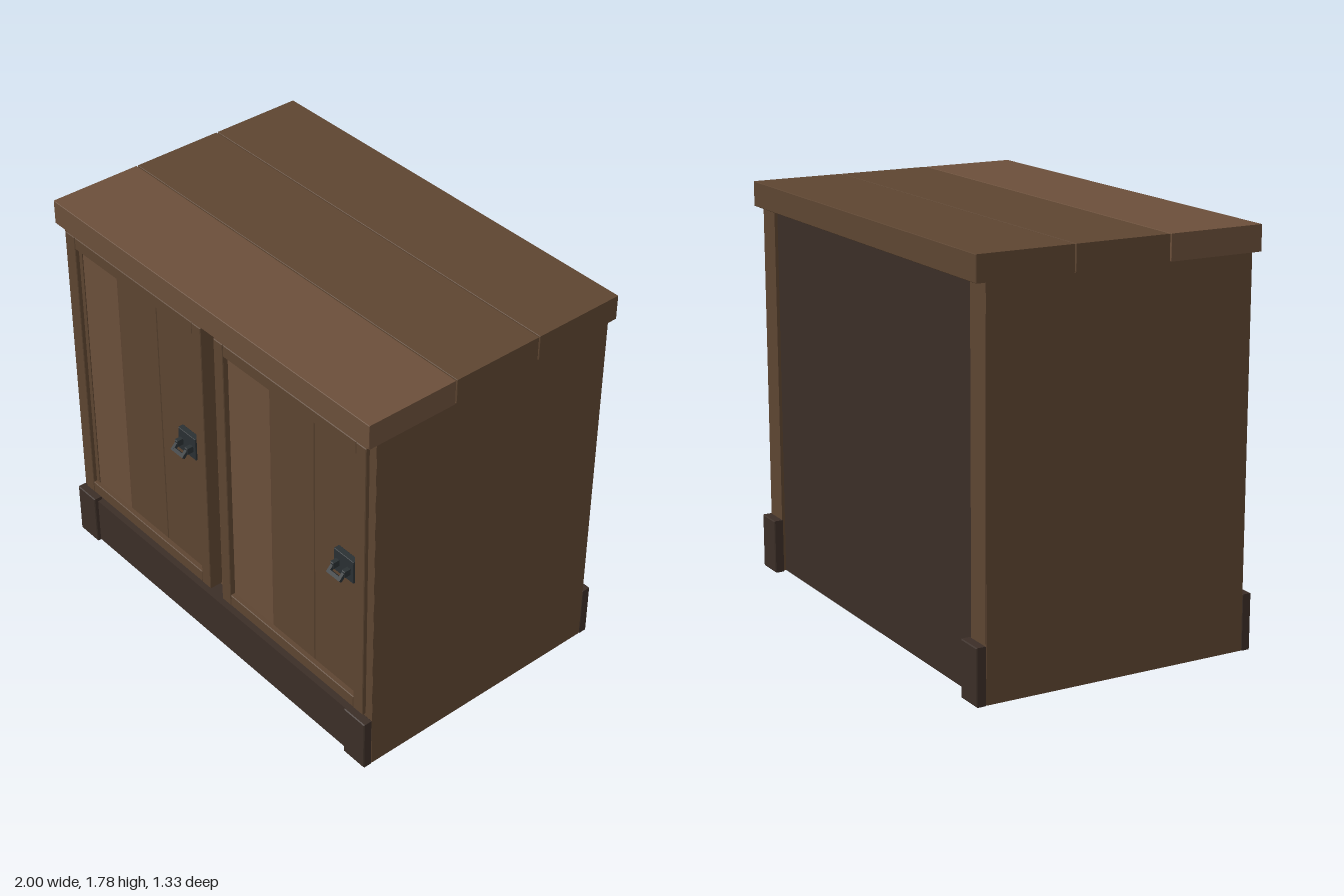
import * as THREE from 'three';

const mat = (color) => new THREE.MeshStandardMaterial({ color, flatShading: true });
const lightWood = mat(0x6b4f3a);
const wood = mat(0x5d4531);
const darkWood = mat(0x3b2e27);
const iron = mat(0x2a3033);

// Box given by its limits, with an optional chamfer on every edge
function block(parent, name, material, [x0, x1], [y0, y1], [z0, z1], c = 0) {
  const w = x1 - x0, h = y1 - y0, d = z1 - z0;
  let geometry;
  if (c) {
    const a = w / 2 - c, b = h / 2 - c;
    const shape = new THREE.Shape([[-a, -b], [a, -b], [a, b], [-a, b]].map((p) => new THREE.Vector2(...p)));
    geometry = new THREE.ExtrudeGeometry(shape, {
      depth: d - 2 * c, bevelEnabled: true, bevelSize: c, bevelThickness: c, bevelSegments: 1,
    });
    geometry.translate(0, 0, c - d / 2);
  } else {
    geometry = new THREE.BoxGeometry(w, h, d);
  }
  const mesh = new THREE.Mesh(geometry, material);
  mesh.name = name;
  mesh.position.set((x0 + x1) / 2, (y0 + y1) / 2, (z0 + z1) / 2);
  parent.add(mesh);
  return mesh;
}

// Range mirrored to the side s
const side = (s, a, b) => (s > 0 ? [a, b] : [-b, -a]);

// Iron plate with two lugs and a drooping pull
function createLatch() {
  const latch = new THREE.Group();
  latch.name = 'latch';
  block(latch, 'latchPlate', iron, [-0.058, 0.058], [-0.055, 0.055], [0, 0.028], 0.002);
  for (const s of [-1, 1]) {
    block(latch, 'latchLug', iron, side(s, 0.024, 0.044), [-0.016, 0.013], [0.026, 0.06], 0.003);
    const arm = block(latch, 'pullArm', iron, side(s, 0.026, 0.04), [-0.022, 0.022], [-0.008, 0.008]);
    arm.position.set(s * 0.033, -0.011, 0.062);
    arm.rotation.x = -0.75;
  }
  const grip = block(latch, 'pullGrip', iron, [-0.04, 0.04], [-0.008, 0.008], [-0.008, 0.008]);
  grip.position.set(0, -0.023, 0.073);
  grip.rotation.x = -0.75;
  return latch;
}

// Framed door with three upright boards
function createDoor(name, x0, x1) {
  const door = new THREE.Group();
  door.name = name;
  const f = 0.058, y0 = 0.26, y1 = 1.635;
  for (const x of [x0, x1 - f]) {
    block(door, 'doorStile', wood, [x, x + f], [y0, y1], [0.54, 0.606], 0.003);
  }
  for (const y of [y0, y1 - f]) {
    block(door, 'doorRail', wood, [x0 + f, x1 - f], [y, y + f], [0.54, 0.605], 0.003);
  }
  const w = (x1 - x0 - 2 * f) / 3;
  for (let i = 0; i < 3; i++) {
    const b = x0 + f + i * w;
    block(door, 'doorBoard', i === 0 ? lightWood : wood, [b, b + w], [y0 + f, y1 - f], [0.555, 0.584], 0.004);
  }
  const latch = createLatch();
  latch.position.set(x1 - f - 0.058, 0.99, 0.584);
  door.add(latch);
  return door;
}

export function createModel() {
  const cabinet = new THREE.Group();
  cabinet.name = 'cabinet';

  // Countertop planks
  const planks = [[0.2, 0.63], [-0.231, 0.195], [-0.664, -0.236]];
  planks.forEach((z, i) => block(cabinet, 'topPlank', i === 0 ? lightWood : wood, [-1, 1], [1.67, 1.78], z, 0.002));

  // Sides, corner posts and feet
  for (const s of [-1, 1]) {
    block(cabinet, 'sidePanel', wood, side(s, 0.93, 0.996), [0.001, 1.67], [-0.62, 0.587]);
    block(cabinet, 'frontPost', wood, side(s, 0.88, 0.995), [0.2, 1.669], [0.53, 0.588]);
    block(cabinet, 'backPost', wood, side(s, 0.88, 0.995), [0.002, 1.669], [-0.622, -0.57]);
    block(cabinet, 'frontFoot', darkWood, side(s, 0.87, 0.997), [0, 0.245], [0.587, 0.63], 0.004);
    block(cabinet, 'backFoot', darkWood, side(s, 0.872, 0.997), [0, 0.245], [-0.664, -0.62], 0.004);
  }

  // Hollow carcass, open behind the gaps around the doors
  block(cabinet, 'backPanel', darkWood, [-0.9, 0.9], [0.002, 1.669], [-0.608, -0.58]);
  block(cabinet, 'bottomPanel', wood, [-0.94, 0.94], [0.15, 0.175], [-0.59, 0.55]);
  block(cabinet, 'frontSkirt', darkWood, [-0.935, 0.935], [0.002, 0.228], [0.53, 0.612]);

  cabinet.add(createDoor('rightDoor', -0.96, -0.043), createDoor('leftDoor', 0.04, 0.957));
  return cabinet;
}
